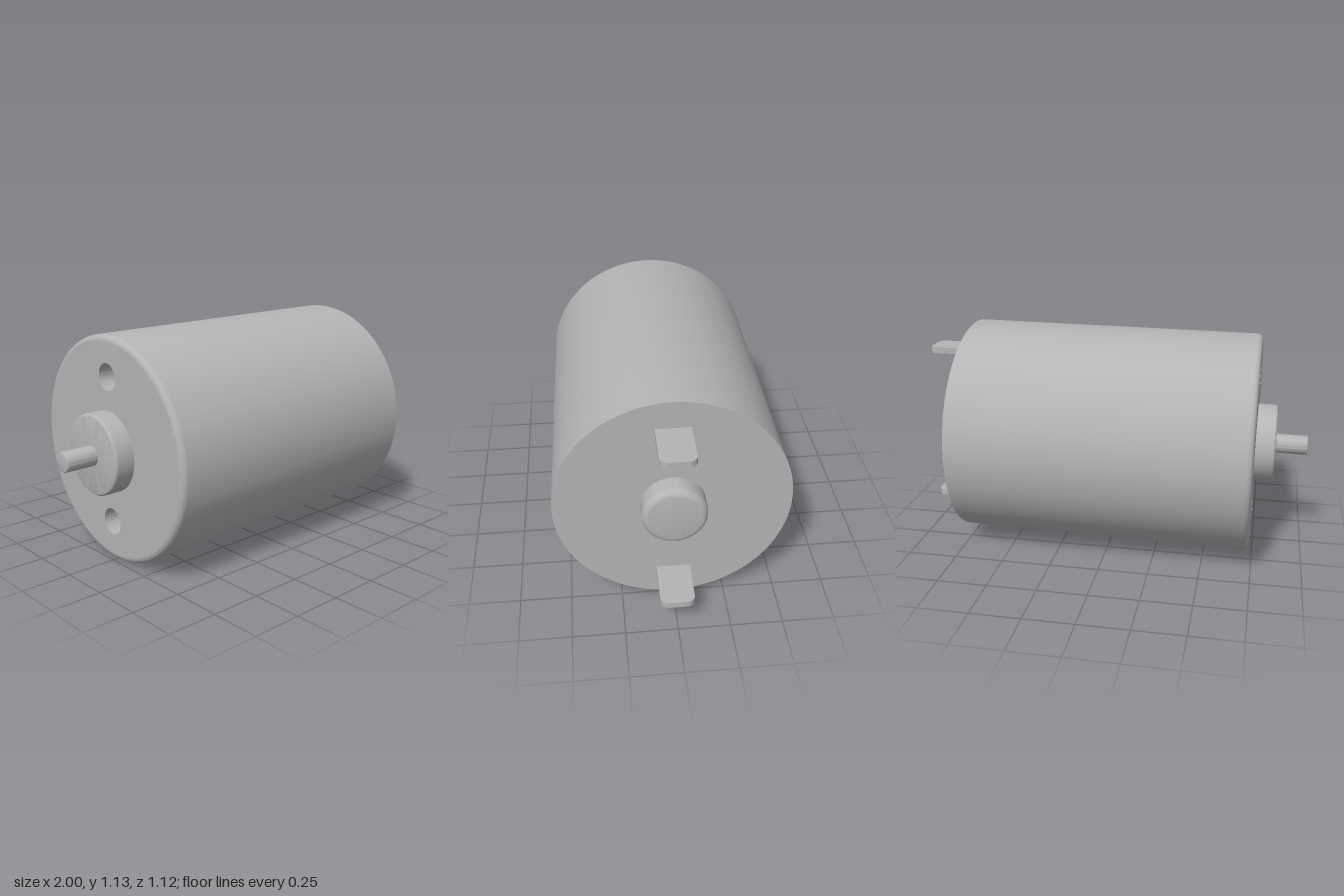
import * as THREE from 'three';
import { toCreasedNormals } from 'three/addons/utils/BufferGeometryUtils.js';

const SEGMENTS = 96;
const FRONT = -0.74, REAR = 0.754, RADIUS = 0.556;
const HOLE_RADIUS = 0.066, HOLE_OFFSET = 0.36;

export function createModel() {
  const metal = new THREE.MeshStandardMaterial({ color: 0xb4b4b4 });
  metal.name = 'grey metal';

  const motor = new THREE.Group();
  motor.name = 'motor';

  const add = (name, geometry) => {
    const mesh = new THREE.Mesh(geometry, metal);
    mesh.name = name;
    motor.add(mesh);
    return mesh;
  };

  // Turned part; direction +1 points the profile along +x, -1 along -x
  const turned = (points, direction, segments = SEGMENTS) => {
    const profile = points.map(([r, h]) => new THREE.Vector2(r, h));
    const geometry = new THREE.LatheGeometry(profile, segments);
    geometry.rotateZ(-direction * Math.PI / 2);
    return toCreasedNormals(geometry, 0.6);
  };

  // Quarter-round from the side wall (radius r) to the end face at height h
  const fillet = (r, h, f, steps = 5) => Array.from({ length: steps + 1 }, (_, i) => {
    const a = (i / steps) * Math.PI / 2;
    return [r - f + f * Math.cos(a), h - f + f * Math.sin(a)];
  });

  // Can: flat sharp rear face, side wall and rounded front rim
  add('can', turned([[0, -REAR], [RADIUS, -REAR], ...fillet(RADIUS, -FRONT, 0.028)], -1, 128));

  // Front face with two mounting holes
  const face = new THREE.Shape().absarc(0, 0, RADIUS - 0.028, 0, Math.PI * 2);
  for (const side of [1, -1]) {
    face.holes.push(new THREE.Path().absarc(0, side * HOLE_OFFSET, HOLE_RADIUS, 0, Math.PI * 2, true));
  }
  const faceGeometry = new THREE.ShapeGeometry(face, 64);
  faceGeometry.rotateY(-Math.PI / 2);
  add('frontFace', faceGeometry).position.x = FRONT;

  // Blind mounting holes, facing inward
  for (const side of [1, -1]) {
    const hole = add(side > 0 ? 'upperMountingHole' : 'lowerMountingHole',
      turned([[HOLE_RADIUS, 0], [HOLE_RADIUS, -0.12], [0, -0.12]], -1, 64));
    hole.position.set(FRONT, side * HOLE_OFFSET, 0);
  }

  // Bearing bosses and output shaft
  add('frontBoss', turned([[0.198, 0.73], ...fillet(0.198, 0.84, 0.014), [0, 0.84]], -1));
  add('shaft', turned([[0.049, 0.82], ...fillet(0.049, 1, 0.006, 3), [0, 1]], -1, 48));
  add('rearBoss', turned([[0.152, 0.74], ...fillet(0.152, 0.858, 0.032, 6), [0, 0.858]], 1));

  // Flat terminals with rounded tips
  const w = 0.081, tip = 0.994, c = 0.032;
  const tab = new THREE.Shape();
  tab.moveTo(0.74, -w);
  tab.lineTo(tip - c, -w);
  tab.quadraticCurveTo(tip - c * 0.2, -w + c * 0.2, tip, -w + c);
  tab.lineTo(tip, w - c);
  tab.quadraticCurveTo(tip - c * 0.2, w - c * 0.2, tip - c, w);
  tab.lineTo(0.74, w);
  tab.closePath();
  const tabGeometry = new THREE.ExtrudeGeometry(tab, { depth: 0.031, bevelEnabled: false, curveSegments: 6 });
  tabGeometry.translate(0, 0, -0.0155);
  tabGeometry.rotateX(-Math.PI / 2);
  add('upperTerminal', tabGeometry).position.y = 0.407;
  add('lowerTerminal', tabGeometry).position.y = -0.409;

  // The motor lies very slightly off level
  motor.position.set(0, 0.566, -0.003);
  motor.rotation.set(0.0085, -0.0087, 0.0093);

  const model = new THREE.Group();
  model.name = 'electricMotor';
  model.add(motor);
  return model;
}
